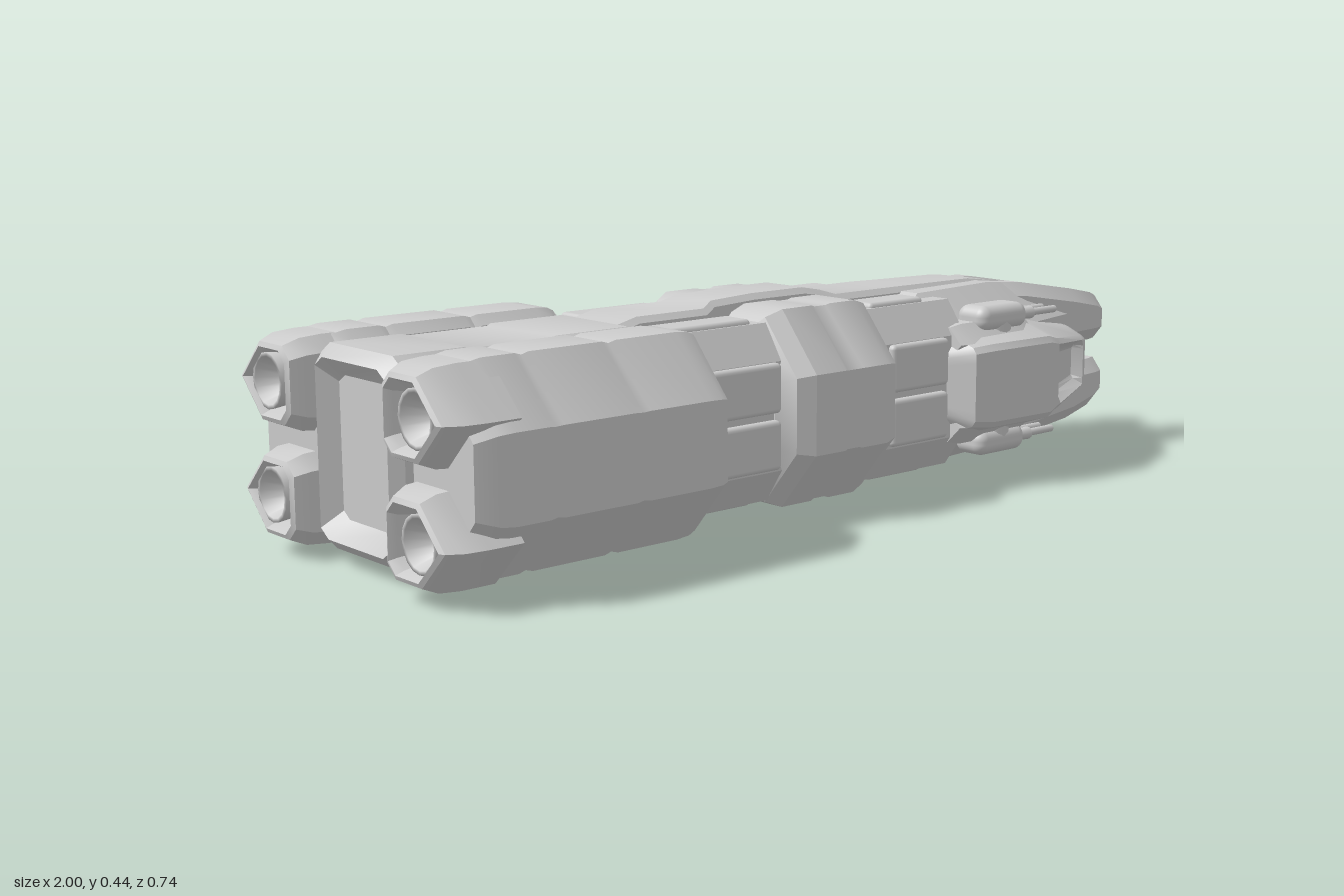
import * as THREE from 'three';
import { toCreasedNormals } from 'three/addons/utils/BufferGeometryUtils.js';
import { RoundedBoxGeometry } from 'three/addons/geometries/RoundedBoxGeometry.js';

const MID = 0.222; // height of the ship's axis
const mat = new THREE.MeshStandardMaterial({ color: 0xcccccc });

function add(group, name, geo, x = 0, y = 0, z = 0) {
  const m = new THREE.Mesh(geo, mat);
  m.name = name;
  m.position.set(x, y, z);
  group.add(m);
  return m;
}

// Octagonal section between z0..z1 and y0..y1 with corner cuts (cz, cy); inner corners may differ
function oct(z0, z1, y0, y1, cz, cy, iz = cz, iy = cy) {
  return [[z0 + iz, y1], [z1 - cz, y1], [z1, y1 - cy], [z1, y0 + cy],
    [z1 - cz, y0], [z0 + iz, y0], [z0, y0 + iy], [z0, y1 - iy]];
}
const sym = (w, y0, y1, cz, cy) => oct(-w, w, y0, y1, cz, cy);

function centre(pts) {
  return pts.reduce((c, p) => [c[0] + p[0] / pts.length, c[1] + p[1] / pts.length], [0, 0]);
}
function scaled(pts, s) {
  const [cz, cy] = centre(pts);
  return pts.map(([z, y]) => [cz + (z - cz) * s, cy + (y - cy) * s]);
}

// Skin sections [x, points] along x, closed at both ends; sz and sy = -1 mirror it
function loft(stations, sz = 1, sy = 1, crease = 0.45) {
  const rings = stations.map(([x, pts]) =>
    [x, pts.map(([z, y]) => [z * sz, MID + (y - MID) * sy])]);
  const ref = rings[1][1];
  let area = 0;
  ref.forEach(([z, y], i) => {
    const [z2, y2] = ref[(i + 1) % ref.length];
    area += y * z2 - y2 * z;
  });
  if (area < 0) rings.forEach((r) => r[1].reverse());
  const v = [];
  const put = (x, p) => v.push(x, p[1], p[0]);
  const n = ref.length;
  for (let k = 0; k < rings.length - 1; k++) {
    const [xa, a] = rings[k], [xb, b] = rings[k + 1];
    for (let i = 0; i < n; i++) {
      const j = (i + 1) % n;
      put(xa, a[i]); put(xa, a[j]); put(xb, b[j]);
      put(xa, a[i]); put(xb, b[j]); put(xb, b[i]);
    }
  }
  const [x0, s] = rings[0], [x1, e] = rings[rings.length - 1];
  for (let i = 0; i < n; i++) {
    const j = (i + 1) % n;
    put(x0, centre(s)); put(x0, s[j]); put(x0, s[i]);
    put(x1, centre(e)); put(x1, e[i]); put(x1, e[j]);
  }
  const g = new THREE.BufferGeometry();
  g.setAttribute('position', new THREE.Float32BufferAttribute(v, 3));
  return toCreasedNormals(g, crease);
}

// Sponson section: outer z, half height at the side and the root, pocket depth
function sponsonSection(w, side, root, pocket) {
  const up = [[0.08, root], [w - (w - 0.08) * 0.42, side + (root - side) * 0.45], [w - 0.01, side],
    [w, side * 0.85], [w - pocket * 0.8, side * 0.62], [w - pocket, side * 0.5]];
  return [...up.map(([z, h]) => [z, MID + h]), ...up.reverse().map(([z, h]) => [z, MID - h])];
}

export function createModel() {
  const ship = new THREE.Group();
  ship.name = 'spaceship';

  // Middle hull
  const hull = sym(0.222, 0.04, 0.4, 0.05, 0.07);
  add(ship, 'middleHull', loft([[-0.55, hull], [0.4, hull]]));

  // Central collar
  const collar = sym(0.28, 0.022, 0.424, 0.1, 0.12);
  add(ship, 'centralCollar', loft([
    [-0.15, scaled(collar, 0.8)], [-0.125, scaled(collar, 0.93)], [-0.09, collar],
    [-0.01, collar], [0.0, scaled(collar, 0.985)], [0.03, scaled(collar, 0.985)], [0.04, collar],
    [0.11, collar], [0.145, scaled(collar, 0.95)], [0.165, scaled(collar, 0.8)]]));

  // Engine core between the pods
  const core = sym(0.135, 0.03, 0.414, 0.03, 0.02);
  add(ship, 'engineCore', loft([
    [-0.93, scaled(core, 0.7)], [-0.965, scaled(core, 0.88)], [-0.94, core],
    [-0.79, core], [-0.78, scaled(core, 0.98)], [-0.6, scaled(core, 0.98)], [-0.59, core],
    [-0.42, core], [-0.38, scaled(core, 0.95)]]));

  // Bow
  add(ship, 'bow', loft([
    [0.33, sym(0.2, 0.05, 0.39, 0.07, 0.08)], [0.36, sym(0.21, 0.032, 0.41, 0.09, 0.09)],
    [0.62, sym(0.2, 0.032, 0.41, 0.11, 0.09)], [0.68, sym(0.18, 0.04, 0.403, 0.1, 0.08)],
    [0.86, sym(0.13, 0.078, 0.37, 0.06, 0.05)], [0.93, sym(0.11, 0.092, 0.352, 0.05, 0.04)],
    [0.96, sym(0.09, 0.115, 0.33, 0.05, 0.04)]]));

  for (const sy of [1, -1]) {
    // Raised spine along the top and the keel
    const ridge = (w, top) => oct(-w, w, 0.3, top, 0.012, 0.012);
    add(ship, 'spine', loft([
      [-0.42, ridge(0.08, 0.412)], [-0.37, ridge(0.08, 0.424)], [-0.2, ridge(0.08, 0.424)],
      [-0.17, ridge(0.068, 0.436)], [-0.06, ridge(0.066, 0.441)], [0.08, ridge(0.066, 0.441)],
      [0.13, ridge(0.066, 0.432)], [0.17, ridge(0.075, 0.42)], [0.34, ridge(0.075, 0.42)],
      [0.6, ridge(0.06, 0.416)], [0.68, ridge(0.05, 0.405)]], 1, sy));

    for (const sz of [1, -1]) {
      // Bow prongs with a hollow tip
      const prong = (zo, top) => oct(0.045, zo, 0.245, top, 0.025, 0.03, 0.01, 0.01);
      const tip = prong(0.115, 0.347);
      add(ship, 'bowProng', loft([
        [0.66, prong(0.1, 0.404)], [0.72, prong(0.12, 0.402)], [0.88, prong(0.136, 0.375)],
        [0.97, prong(0.125, 0.357)], [1, tip], [1, scaled(tip, 0.6)], [0.97, scaled(tip, 0.5)]], sz, sy));

      // Pod tail lobes with a nozzle inside
      const lobe = oct(0.14, 0.36, 0.24, 0.42, 0.09, 0.09, 0.03, 0.03);
      add(ship, 'tailLobe', loft([
        [-0.93, scaled(lobe, 0.5)], [-0.985, scaled(lobe, 0.64)], [-1, scaled(lobe, 0.72)],
        [-0.995, scaled(lobe, 0.82)], [-0.965, scaled(lobe, 0.96)], [-0.92, lobe],
        [-0.85, lobe]], sz, sy));
      const bell = new THREE.LatheGeometry([[0, 0], [0.025, 0], [0.046, 0.05], [0.054, 0.05],
        [0.05, 0.02], [0.05, -0.02]].map(([r, h]) => new THREE.Vector2(r, h)), 16);
      bell.rotateZ(Math.PI / 2);
      const b = add(ship, 'engineNozzle', bell, -0.94, MID + sy * 0.108, sz * 0.25);
      b.material = mat.clone();
      b.material.side = THREE.DoubleSide;

      // Twin-barrel turret on its mount
      const turret = new THREE.Group();
      turret.name = 'turret';
      turret.position.set(0.505, MID + sy * 0.135, sz * 0.207);
      ship.add(turret);
      add(turret, 'turretMount', new THREE.CylinderGeometry(0.042, 0.042, 0.06, 16), 0, -sy * 0.03, 0);
      add(turret, 'turretHousing', new RoundedBoxGeometry(0.15, 0.056, 0.085, 4, 0.024));
      for (const dz of [-0.018, 0.018]) {
        const barrel = new THREE.CylinderGeometry(0.008, 0.008, 0.13, 10).rotateZ(Math.PI / 2);
        add(turret, 'turretBarrel', barrel, 0.12, 0, dz);
        const sleeve = new THREE.CylinderGeometry(0.012, 0.014, 0.04, 10).rotateZ(Math.PI / 2);
        add(turret, 'barrelSleeve', sleeve, 0.085, 0, dz);
      }

      // Armour panels on the hull side and deck, split by a groove
      add(ship, 'aftSidePanel', new RoundedBoxGeometry(0.25, 0.1, 0.03, 2, 0.01),
        -0.265, MID + sy * 0.057, sz * 0.222);
      add(ship, 'foreSidePanel', new RoundedBoxGeometry(0.17, 0.1, 0.03, 2, 0.01),
        0.255, MID + sy * 0.057, sz * 0.222);
      for (const [x, len] of [[-0.27, 0.22], [0.25, 0.16]]) {
        add(ship, 'deckPanel', new RoundedBoxGeometry(len, 0.03, 0.075, 2, 0.01),
          x, MID + sy * 0.173, sz * 0.13);
      }
    }
  }

  for (const sz of [1, -1]) {
    // Engine pods: three plated segments and an open rim at the front
    const pod = oct(0.145, 0.37, 0.032, 0.424, 0.1, 0.115, 0.02, 0.02);
    const waist = scaled(pod, 0.978);
    const rim = oct(0.12, 0.335, 0.06, 0.395, 0.085, 0.095, 0.02, 0.02);
    add(ship, 'enginePod', loft([
      [-0.94, scaled(pod, 0.82)], [-0.9, scaled(pod, 0.97)], [-0.87, pod], [-0.8, pod], [-0.785, waist],
      [-0.77, pod], [-0.61, pod], [-0.595, waist], [-0.58, pod], [-0.44, pod],
      [-0.41, scaled(pod, 0.985)], [-0.395, scaled(pod, 0.95)], [-0.395, rim],
      [-0.45, scaled(rim, 0.95)]], sz));

    // Side sponsons with a long pocket
    add(ship, 'sponson', loft([
      [0.345, sponsonSection(0.22, 0.07, 0.11, 0)], [0.375, sponsonSection(0.28, 0.085, 0.14, 0)],
      [0.42, sponsonSection(0.293, 0.09, 0.15, 0)], [0.6, sponsonSection(0.298, 0.09, 0.15, 0)],
      [0.64, sponsonSection(0.285, 0.08, 0.14, 0)], [0.655, sponsonSection(0.28, 0.078, 0.135, 0.03)],
      [0.8, sponsonSection(0.218, 0.062, 0.1, 0.03)], [0.815, sponsonSection(0.21, 0.06, 0.097, 0)],
      [0.84, sponsonSection(0.195, 0.055, 0.09, 0)], [0.87, sponsonSection(0.145, 0.045, 0.075, 0)]], sz));
    // Shoulder plates carrying the turrets
    for (const sy of [1, -1]) {
      const plate = oct(0.1, 0.262, 0.27, 0.352, 0.04, 0.04, 0.01, 0.01);
      add(ship, 'turretShoulder', loft([[0.36, scaled(plate, 0.85)], [0.39, plate],
        [0.56, plate], [0.61, scaled(plate, 0.75)]], sz, sy));
    }
  }
  return ship;
}
